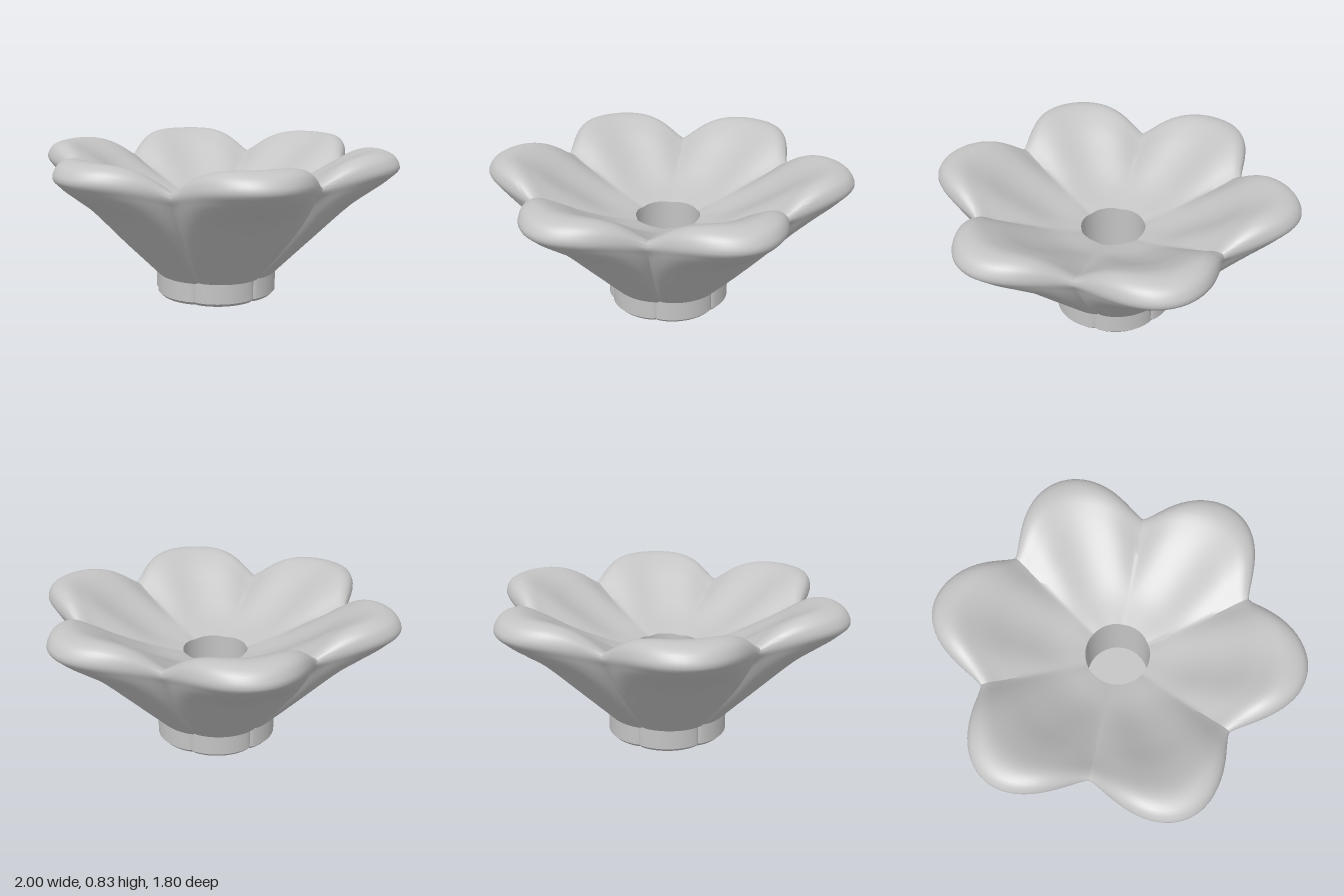
import * as THREE from 'three';
import { toCreasedNormals } from 'three/addons/utils/BufferGeometryUtils.js';

const PETALS = 6;
const SEGMENTS = PETALS * 32;

// Smooth a short [r, y, fullness] profile into more points
function smooth(points, count) {
  const curve = new THREE.CatmullRomCurve3(points.map((p) => new THREE.Vector3(...p)));
  return Array.from({ length: count + 1 }, (_, i) => curve.getPoint(i / count).toArray());
}

// Sweep around y, blending the profile at the petal axis with the one at the notch.
// A low fullness exponent gives broad petals parted by a narrow crease.
function loft(axis, notch, crease) {
  const position = [], index = [];
  axis.forEach(([ra, ya, fullness], i) => {
    const [rn, yn] = notch[i];
    for (let j = 0; j < SEGMENTS; j++) {
      const angle = (j / SEGMENTS) * Math.PI * 2;
      const lobe = Math.abs(Math.cos(angle * PETALS / 2));
      const r = rn + (ra - rn) * Math.pow(lobe, fullness);
      const y = yn + (ya - yn) * Math.pow(Math.sin(lobe * Math.PI / 2), 1.2);
      position.push(r * Math.cos(angle), y, -r * Math.sin(angle));
      if (i === axis.length - 1) continue;
      const k = (j + 1) % SEGMENTS;
      const a = i * SEGMENTS + j, b = i * SEGMENTS + k;
      index.push(a, b, a + SEGMENTS, b, b + SEGMENTS, a + SEGMENTS);
    }
  });
  const geometry = new THREE.BufferGeometry();
  geometry.setAttribute('position', new THREE.Float32BufferAttribute(position, 3));
  geometry.setIndex(index);
  return toCreasedNormals(geometry, crease);
}

export function createModel() {
  const group = new THREE.Group();
  const grey = new THREE.MeshStandardMaterial({ color: 0xc4c4c4 });
  grey.name = 'lightGrey';

  const add = (name, geometry) => {
    const mesh = new THREE.Mesh(geometry, grey);
    mesh.name = name;
    group.add(mesh);
    return mesh;
  };

  // Petals: up the outside, over the rounded rim, down the inside to the socket
  const petalAxis = [
    [0.343, 0.125, 0.5], [0.55, 0.335, 0.55], [0.755, 0.54, 0.7], [0.865, 0.625, 0.9],
    [0.955, 0.695, 1.15], [1, 0.76, 1.35], [0.965, 0.81, 1.35], [0.87, 0.832, 1.35],
    [0.74, 0.782, 1.35], [0.57, 0.675, 1.35], [0.36, 0.56, 1.35], [0.18, 0.505, 1.35],
  ];
  const petalNotch = [
    [0.325, 0.125, 0], [0.465, 0.285, 0], [0.605, 0.455, 0], [0.675, 0.55, 0],
    [0.725, 0.625, 0], [0.757, 0.675, 0], [0.75, 0.698, 0], [0.72, 0.7, 0],
    [0.64, 0.664, 0], [0.49, 0.605, 0], [0.33, 0.545, 0], [0.18, 0.498, 0],
  ];
  add('petals', loft(smooth(petalAxis, 48), smooth(petalNotch, 48), 0.8));

  // Round socket in the middle, wall and floor
  add('socket', loft(
    [[0.18, 0.505, 1], [0.18, 0.13, 1], [0, 0.13, 1]],
    [[0.18, 0.498], [0.18, 0.13], [0, 0.13]], 0.6));

  // Lobed foot with a bevelled lower edge, turned slightly against the petals
  const foot = add('foot', loft(
    [[0, 0, 0.5], [0.328, 0, 0.5], [0.345, 0.018, 0.5], [0.345, 0.13, 0.5], [0.3, 0.13, 0.5]],
    [[0, 0], [0.308, 0], [0.325, 0.018], [0.325, 0.13], [0.28, 0.13]], 0.5));
  foot.rotation.y = -0.08;

  return group;
}
